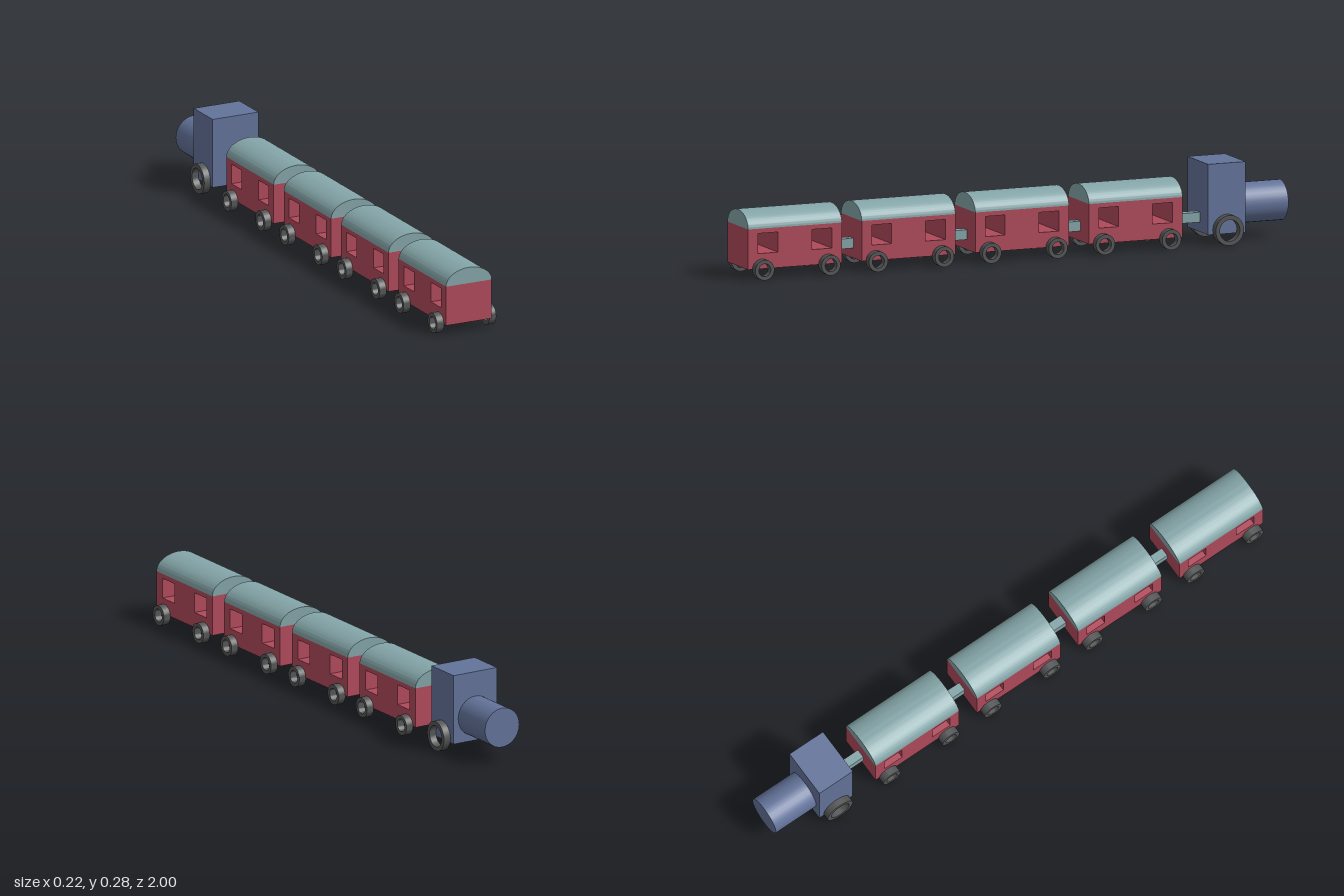
import * as THREE from 'three';
import { toCreasedNormals } from 'three/addons/utils/BufferGeometryUtils.js';

const paint = (color) => new THREE.MeshStandardMaterial({ color });
const RED = paint(0xb04a5b), TEAL = paint(0x84a5a8), BLUE = paint(0x63739a), DARK = paint(0x555657);

const CAR_LENGTH = 0.345, CAR_PITCH = 0.4185, CAR_HALF_WIDTH = 0.087;
const FLOOR = 0.036, EAVES = 0.174, ROOF_TOP = 0.23;

function add(parent, name, geometry, material, x = 0, y = 0, z = 0) {
  const mesh = new THREE.Mesh(geometry, material);
  mesh.name = name;
  mesh.position.set(x, y, z);
  parent.add(mesh);
  return mesh;
}

function extrude(shape, depth, curveSegments) {
  const geometry = new THREE.ExtrudeGeometry(shape, { depth, bevelEnabled: false, curveSegments });
  geometry.translate(0, 0, -depth / 2);
  return toCreasedNormals(geometry, 0.6);
}

function rectangle(path, x0, y0, x1, y1) {
  path.moveTo(x0, y0);
  path.lineTo(x1, y0);
  path.lineTo(x1, y1);
  path.lineTo(x0, y1);
  path.closePath();
  return path;
}

// Open ring with a flat tread, axle along x
function wheelGeometry(radius, innerRadius) {
  const shape = new THREE.Shape().absarc(0, 0, radius, 0, Math.PI * 2);
  shape.holes.push(new THREE.Path().absarc(0, 0, innerRadius, 0, Math.PI * 2, true));
  return extrude(shape, 0.026, 16).rotateY(Math.PI / 2);
}

function addWheelPair(parent, geometry, radius, z) {
  for (const [side, name] of [[1, 'leftWheel'], [-1, 'rightWheel']]) {
    add(parent, name, geometry, DARK, side * 0.0995, radius, z);
  }
}

// Car side outline with two window openings running right through
function carBodyGeometry() {
  const half = CAR_LENGTH / 2;
  const shape = rectangle(new THREE.Shape(), -half, FLOOR, half, EAVES);
  for (const centre of [-0.099, 0.099]) {
    shape.holes.push(rectangle(new THREE.Path(), centre - 0.0365, 0.089, centre + 0.0365, 0.158));
  }
  return extrude(shape, CAR_HALF_WIDTH * 2, 1).rotateY(Math.PI / 2);
}

// Half-elliptical arched roof
function roofGeometry() {
  const shape = new THREE.Shape();
  shape.absellipse(0, EAVES, CAR_HALF_WIDTH, ROOF_TOP - EAVES, 0, Math.PI, false, 0);
  shape.closePath();
  return extrude(shape, CAR_LENGTH, 32);
}

export function createModel() {
  const train = new THREE.Group();
  train.name = 'toyTrain';

  // Four passenger cars, each with a coupling towards the engine
  const body = carBodyGeometry();
  const roof = roofGeometry();
  const smallWheel = wheelGeometry(0.035, 0.022);
  for (let i = 0; i < 4; i++) {
    const car = new THREE.Group();
    car.name = `passengerCar${i + 1}`;
    car.position.z = 1 - CAR_LENGTH / 2 - i * CAR_PITCH;
    add(car, 'carBody', body, RED);
    add(car, 'carRoof', roof, TEAL);
    for (const z of [0.122, -0.122]) addWheelPair(car, smallWheel, 0.035, z);
    const gap = i < 3 ? CAR_PITCH - CAR_LENGTH : 0.097;
    add(car, 'coupling', new THREE.BoxGeometry(0.032, 0.034, gap), TEAL,
      0, 0.087, -CAR_LENGTH / 2 - gap / 2);
    train.add(car);
  }

  // Engine: tall cab, round boiler, one pair of big wheels
  const engine = new THREE.Group();
  engine.name = 'engine';
  add(engine, 'cab', new THREE.BoxGeometry(0.174, 0.242, 0.138), BLUE, -0.002, 0.158, -0.765);
  const boiler = new THREE.CylinderGeometry(0.069, 0.069, 0.17, 32).rotateX(Math.PI / 2);
  add(engine, 'boiler', boiler, BLUE, -0.002, 0.124, -0.915);
  addWheelPair(engine, wheelGeometry(0.052, 0.037), 0.052, -0.764);
  train.add(engine);

  return train;
}
